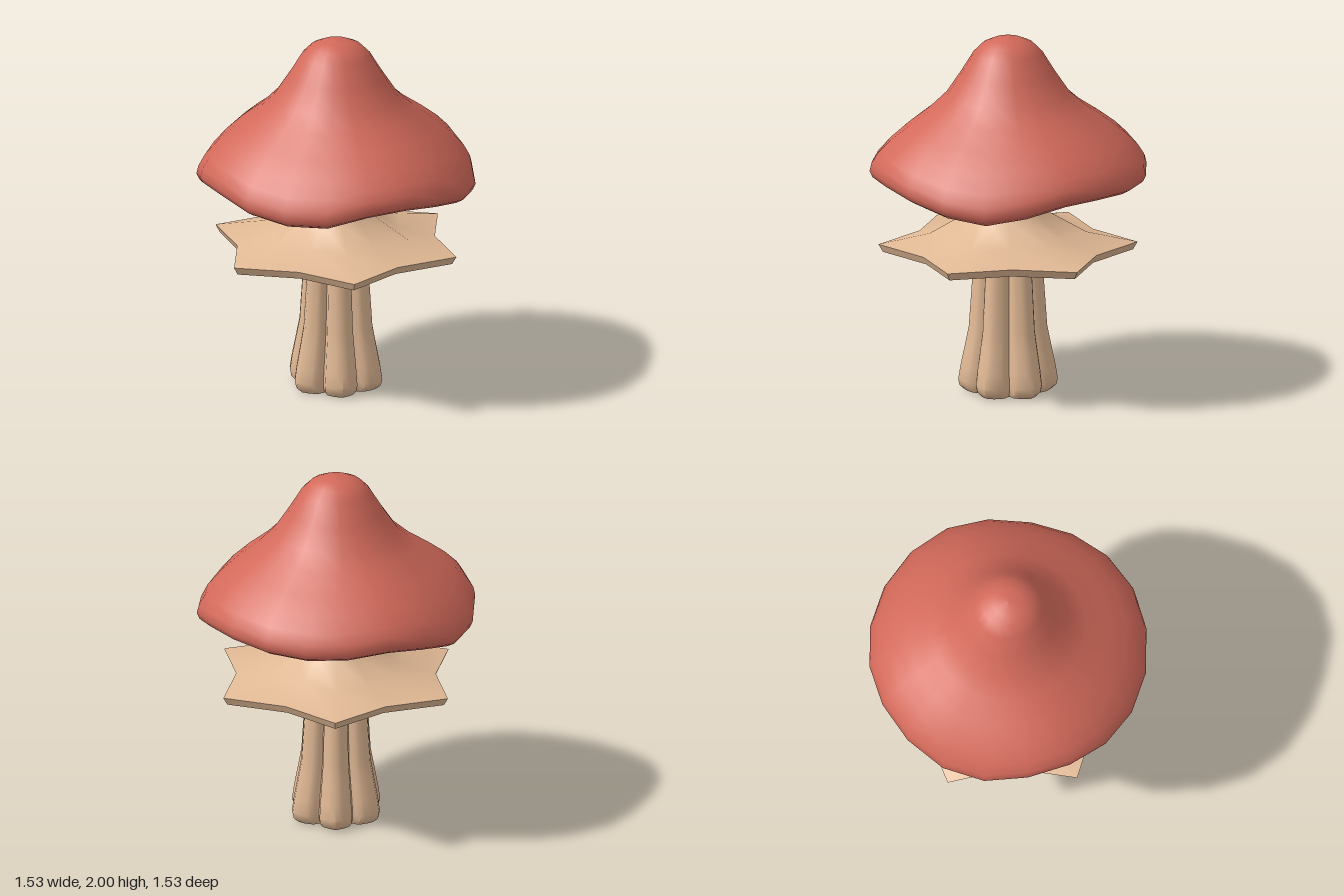
import * as THREE from 'three';
import { toCreasedNormals } from 'three/addons/utils/BufferGeometryUtils.js';

const red = new THREE.MeshStandardMaterial({ color: 0xd2695a });
red.name = 'cap red';
const tan = new THREE.MeshStandardMaterial({ color: 0xe0b894 });
tan.name = 'stem tan';

// Skins a stack of rings, listed from the top outside downwards.
// point(ring, i) returns [angle, radius, height] of vertex i of that ring.
function loft(rings, sides, point) {
  const positions = [];
  const index = [];
  rings.forEach((ring, k) => {
    for (let i = 0; i < sides; i++) {
      const [angle, r, y] = point(ring, i);
      positions.push(r * Math.cos(angle), y, r * Math.sin(angle));
      if (k === rings.length - 1) continue;
      const j = (i + 1) % sides;
      const a = k * sides + i, a1 = k * sides + j;
      const b = a + sides, b1 = a1 + sides;
      if (ring[0] > 0) index.push(a, a1, b);
      if (rings[k + 1][0] > 0) index.push(a1, b1, b);
    }
  });
  const geometry = new THREE.BufferGeometry();
  geometry.setAttribute('position', new THREE.Float32BufferAttribute(positions, 3));
  geometry.setIndex(index);
  geometry.computeVertexNormals();
  return geometry;
}

function addPart(group, name, geometry, material) {
  const mesh = new THREE.Mesh(geometry, material);
  mesh.name = name;
  group.add(mesh);
}

// Cap: bell profile with a curled lip and hollow underside; the rim undulates.
function capGeometry() {
  const wave = [
    -0.035, 0.01, 0.04, 0.03, -0.025, -0.03, -0.005, 0.04, 0.03, -0.035,
    -0.04, 0.01, 0.04, 0.02, 0.01, 0.02, 0.035, 0.03, -0.02, -0.06,
  ];
  // radius, height, share of the rim wave
  const profile = [
    [0, 2.0, 0], [0.08, 1.992, 0], [0.14, 1.965, 0], [0.19, 1.915, 0],
    [0.26, 1.8, 0], [0.34, 1.68, 0.05], [0.43, 1.595, 0.2], [0.55, 1.505, 0.4],
    [0.65, 1.42, 0.65], [0.72, 1.345, 0.85], [0.755, 1.285, 1], [0.766, 1.24, 1],
    [0.75, 1.205, 1], [0.71, 1.182, 1], [0.66, 1.178, 1], [0.615, 1.2, 1],
    [0.585, 1.26, 0.9], [0.54, 1.33, 0.8], [0.44, 1.41, 0.5], [0.3, 1.5, 0.15],
    [0, 1.6, 0],
  ];
  return loft(profile, 20, ([r, y, w], i) => [i * Math.PI / 10, r, y + w * wave[i]]);
}

// Stem: six rounded lobes divided by narrow grooves.
function stemGeometry() {
  const half = [[0, 1], [9, 0.945], [17, 0.885], [23, 0.83], [26, 0.74], [30, 0.68]];
  const lobe = [...half.slice(1, 5).reverse().map(([a, r]) => [-a, r]), ...half];
  const profile = [
    [0, 1.0], [0.17, 1.0], [0.185, 0.79], [0.215, 0.36], [0.235, 0.26],
    [0.26, 0.14], [0.273, 0.06], [0.265, 0.025], [0.235, 0], [0, 0],
  ];
  const n = lobe.length;
  const geometry = loft(profile, 6 * n, ([r, y], i) => {
    const [offset, scale] = lobe[i % n];
    return [THREE.MathUtils.degToRad(60 * Math.floor(i / n) + offset), r * scale, y];
  });
  return toCreasedNormals(geometry, 0.85);
}

// Skirt: six-sided neck flaring into a thin six-pointed ring, hollow below.
function skirtGeometry() {
  // radius at the points, height, radius ratio at the valleys
  const profile = [
    [0, 1.58, 1], [0.15, 1.58, 0.88], [0.156, 1.19, 0.88], [0.158, 1.11, 0.88],
    [0.235, 1.0, 0.84], [0.43, 0.89, 0.8], [0.71, 0.83, 0.77], [0.685, 0.787, 0.77],
    [0.42, 0.845, 0.8], [0.21, 0.935, 0.84], [0, 0.95, 1],
  ];
  const geometry = loft(profile, 12, ([r, y, valley], i) =>
    [i * Math.PI / 6, i % 2 ? r * valley : r, y]);
  return toCreasedNormals(geometry, 1.15);
}

export function createModel() {
  const mushroom = new THREE.Group();
  mushroom.name = 'mushroom';
  addPart(mushroom, 'cap', capGeometry(), red);
  addPart(mushroom, 'stem', stemGeometry(), tan);
  addPart(mushroom, 'skirt', skirtGeometry(), tan);
  return mushroom;
}
